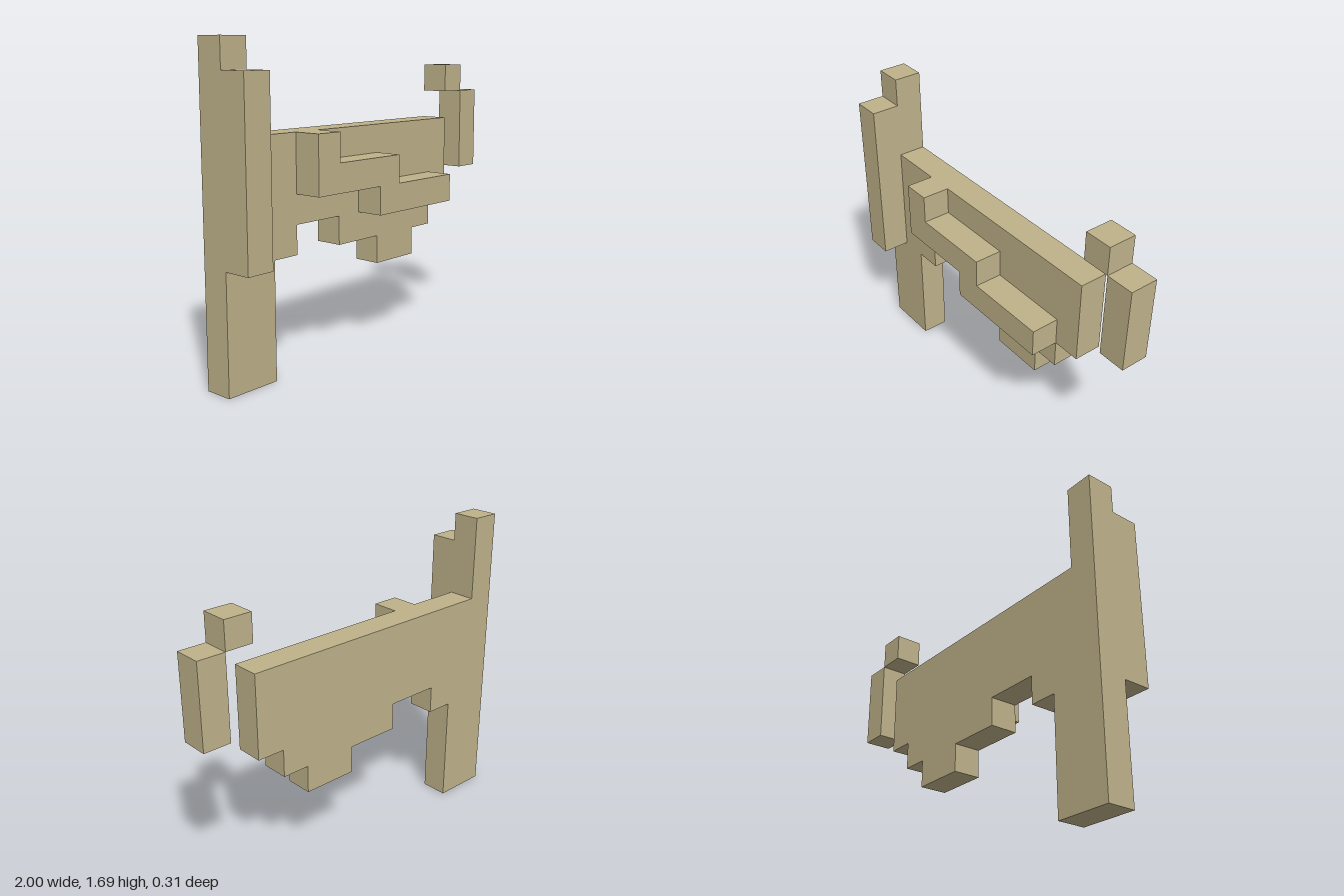
import * as THREE from 'three';

const U = 2 / 13; // one block of the 13 x 11 block grid

export function createModel() {
  const model = new THREE.Group();
  model.name = 'blockTool';
  const khaki = new THREE.MeshStandardMaterial({ color: 0xbfb28a });
  khaki.name = 'khaki';

  // Extrudes an outline given in grid blocks, one block deep from z0
  function slab(name, outline, z0) {
    const shape = new THREE.Shape(
      outline.map(([x, y]) => new THREE.Vector2((x - 6.5) * U, y * U))
    );
    const geometry = new THREE.ExtrudeGeometry(shape, { depth: U, bevelEnabled: false });
    geometry.translate(0, 0, z0);
    const mesh = new THREE.Mesh(geometry, khaki);
    mesh.name = name;
    model.add(mesh);
  }
  const rect = (x0, y0, x1, y1) => [[x0, y0], [x1, y0], [x1, y1], [x0, y1]];

  // Back layer: leg, stepped body and tall post in one outline
  slab('body', [
    [0, 0], [2, 0], [2, 4], [3, 4], [3, 5], [5, 5], [5, 4], [7, 4], [7, 3],
    [9, 3], [9, 4], [10, 4], [10, 5], [11, 5], [11, 8], [1, 8], [1, 11], [0, 11],
  ], -U);

  // Detached end blocks
  slab('endBlockUpper', rect(11, 9, 12, 10), -U);
  slab('endBlockLower', rect(12, 6, 13, 9), -U);

  // Front layer: raised post and stepped ridge
  slab('frontPost', rect(0, 4, 1, 10), 0);
  slab('frontRidge', [
    [3, 6], [6, 6], [6, 5], [10, 5], [10, 6], [7, 6], [7, 7], [4, 7], [4, 8], [3, 8],
  ], 0);

  return model;
}
